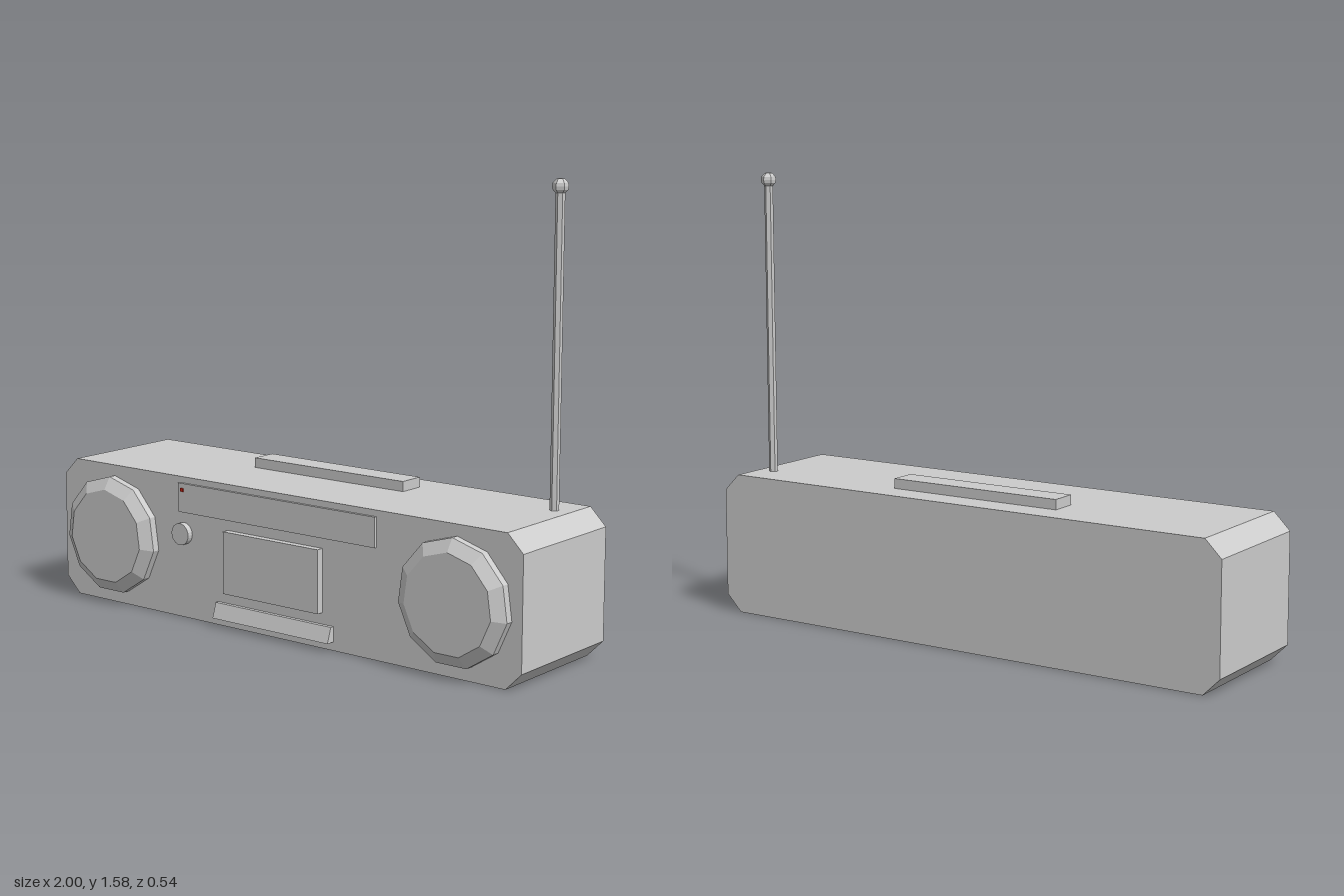
import * as THREE from 'three';

export function createModel() {
  const group = new THREE.Group();
  const grey = new THREE.MeshStandardMaterial({ color: 0xcccccc, flatShading: true });
  const red = new THREE.MeshStandardMaterial({ color: 0xcc2010, flatShading: true });
  const FRONT = 0.215;

  const add = (name, geometry, x, y, z, material = grey) => {
    const mesh = new THREE.Mesh(geometry, material);
    mesh.name = name;
    mesh.position.set(x, y, z);
    group.add(mesh);
    return mesh;
  };
  // Box given by its extents
  const addBox = (name, x0, x1, y0, y1, z0, z1, material) =>
    add(name, new THREE.BoxGeometry(x1 - x0, y1 - y0, z1 - z0),
      (x0 + x1) / 2, (y0 + y1) / 2, (z0 + z1) / 2, material);
  const extrude = (points, depth) => new THREE.ExtrudeGeometry(
    new THREE.Shape(points.map(([x, y]) => new THREE.Vector2(x, y))),
    { depth, bevelEnabled: false });
  const lathe = (points, sides, start = 0) => new THREE.LatheGeometry(
    points.map(([r, y]) => new THREE.Vector2(r, y)), sides, start);

  // Case with chamfered long edges
  const h = 0.505, c = 0.06;
  add('case', extrude([
    [-1 + c, 0], [1 - c, 0], [1, c], [1, h - c],
    [1 - c, h], [-1 + c, h], [-1, h - c], [-1, c],
  ], 0.27 + FRONT), 0, 0, -0.27);

  // Eleven-sided speakers with a bevelled rim
  for (const side of [-1, 1]) {
    const speaker = lathe([[0.213, 0], [0.213, 0.027], [0.17, 0.055], [0, 0.055]], 11, Math.PI);
    speaker.rotateX(Math.PI / 2);
    add(side > 0 ? 'leftSpeaker' : 'rightSpeaker', speaker, side * 0.75, 0.253, FRONT);
  }

  // Front panel fittings
  addBox('tunerPanel', -0.433, 0.43, 0.38, 0.483, FRONT - 0.01, 0.225);
  addBox('powerLight', -0.421, -0.409, 0.454, 0.466, 0.215, 0.229, red);
  addBox('cassetteDoor', -0.213, 0.205, 0.123, 0.343, FRONT - 0.01, 0.241);
  const knob = new THREE.CylinderGeometry(0.039, 0.039, 0.03, 24);
  knob.rotateX(Math.PI / 2);
  add('knob', knob, -0.417, 0.303, 0.222);

  // Sloped key strip: wedge section swept along x
  const keys = extrude([[-0.205, 0.03], [-0.247, 0.03], [-0.229, 0.083], [-0.205, 0.083]].reverse(), 0.51);
  keys.rotateY(Math.PI / 2);
  add('keyStrip', keys, -0.258, 0, 0);

  // Grip on top
  addBox('topGrip', -0.33, 0.327, h - 0.01, 0.54, -0.163, -0.067);

  // Antenna with faceted tip
  add('antennaRod', new THREE.CylinderGeometry(0.0155, 0.0155, 1.05, 6), 0.88, 1.02, -0.145);
  add('antennaTip', lathe([
    [0, -0.025], [0.013, -0.024], [0.025, -0.011], [0.027, 0], [0.025, 0.011], [0.013, 0.024], [0, 0.025],
  ], 6), 0.88, 1.553, -0.145);

  return group;
}
